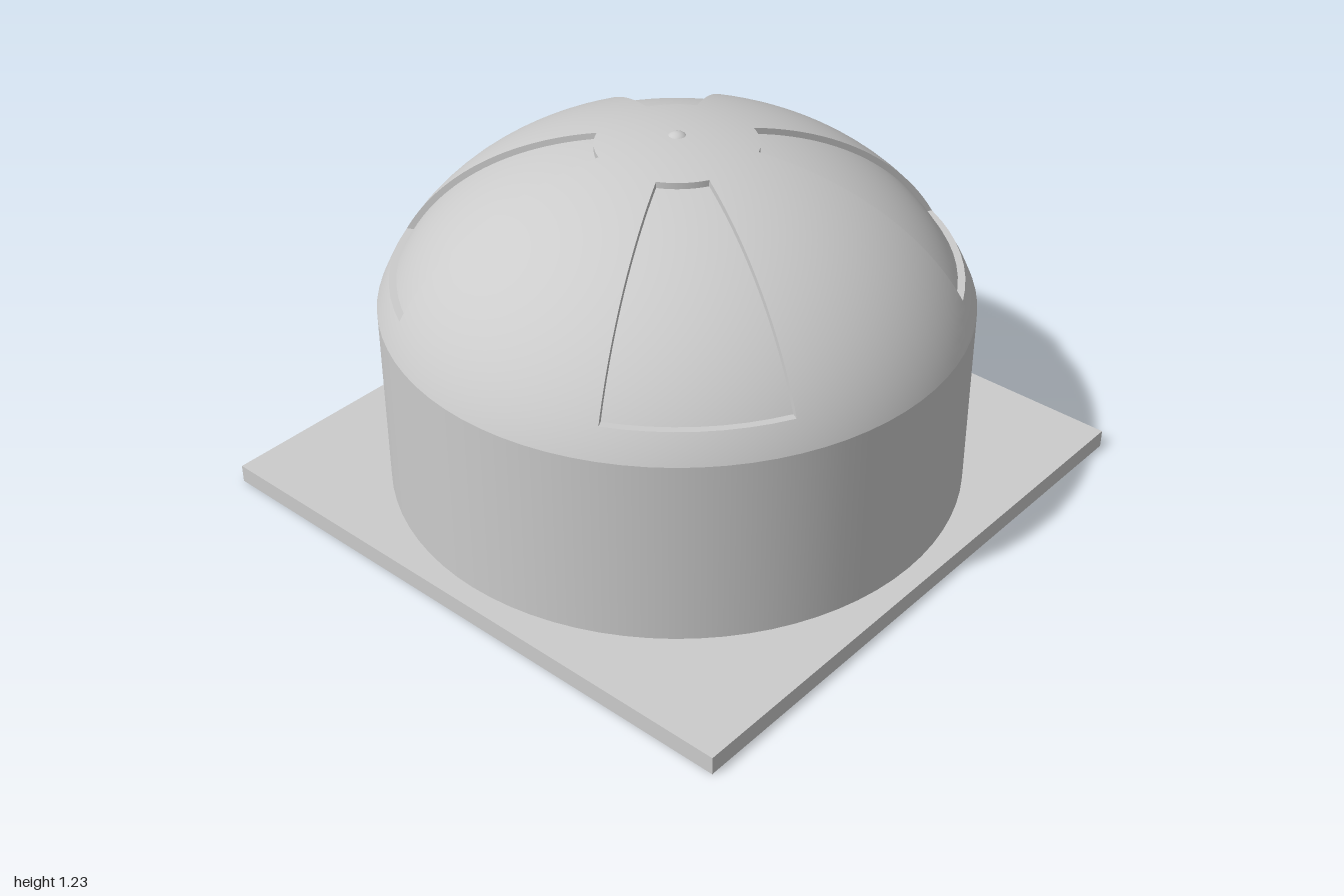
import * as THREE from 'three';

const mat = new THREE.MeshStandardMaterial({ color: 0xcccccc, side: THREE.DoubleSide });
const R = 0.93, BASE = 0.06, EAVE = 0.68;       // drum
const CY = 0.46, DEPTH = 0.02;                  // dome centre height, recess depth
const OUTER = { a: 0.972, b: 0.76 };
const INNER = { a: OUTER.a - DEPTH, b: OUTER.b - DEPTH };
const SILL = 0.77, TOP_R = 0.25;                // recess limits
const HALF = THREE.MathUtils.degToRad(18);      // half the recess width

const atHeight = (e, y) => Math.asin((y - CY) / e.b);
const atRadius = (e, r) => Math.acos(r / e.a);

// Points of an elliptical dome profile between two angles
function arc(e, t0, t1, n) {
  return Array.from({ length: n + 1 }, (_, i) => {
    const t = t0 + (t1 - t0) * i / n;
    return new THREE.Vector2(Math.max(0, e.a * Math.cos(t)), CY + e.b * Math.sin(t));
  });
}

// Lathe patch carrying the true ellipsoid normals, so that patches join smoothly
function domePatch(e, t0, t1, n, phi, len, seg) {
  const g = new THREE.LatheGeometry(arc(e, t0, t1, n), seg, phi, len);
  const p = g.attributes.position, v = new THREE.Vector3();
  for (let i = 0; i < p.count; i++) {
    v.set(p.getX(i) / e.a ** 2, (p.getY(i) - CY) / e.b ** 2, p.getZ(i) / e.a ** 2).normalize();
    g.attributes.normal.setXYZ(i, v.x, v.y, v.z);
  }
  return g;
}

export function createModel() {
  const model = new THREE.Group();
  const add = (name, geometry, parent = model) => {
    const m = new THREE.Mesh(geometry, mat);
    m.name = name;
    parent.add(m);
    return m;
  };

  // Square base and round drum
  add('basePlate', new THREE.BoxGeometry(2, BASE, 2)).position.y = BASE / 2;
  add('drum', new THREE.CylinderGeometry(R, R, EAVE - BASE, 80, 1, true)).position.y = (EAVE + BASE) / 2;

  // Dome: full lower ring and crown, ribs between the recesses
  const dome = new THREE.Group();
  dome.name = 'dome';
  model.add(dome);
  const oSill = atHeight(OUTER, SILL), oTop = atRadius(OUTER, TOP_R);
  const iSill = atHeight(INNER, SILL), iTop = atRadius(INNER, TOP_R);
  const full = Math.PI * 2, ribWidth = Math.PI / 2 - 2 * HALF;
  add('lowerRing', domePatch(OUTER, atHeight(OUTER, EAVE), oSill, 4, 0, full, 80), dome);
  add('crown', domePatch(OUTER, oTop, Math.PI / 2, 6, 0, full, 80), dome);

  // Recess side wall, drawn in the radius-height plane
  const wall = new THREE.ShapeGeometry(new THREE.Shape([
    ...arc(OUTER, oSill, oTop, 24), ...arc(INNER, iTop, iSill, 24),
  ]));
  const yTop = (e, t) => CY + e.b * Math.sin(t);

  for (let i = 0; i < 4; i++) {
    const mid = Math.PI / 4 + i * Math.PI / 2, start = mid - HALF;
    add('rib', domePatch(OUTER, oSill, oTop, 24, mid + HALF, ribWidth, 12), dome);

    const recess = new THREE.Group();
    recess.name = 'recessedPanel';
    dome.add(recess);
    add('panelFloor', domePatch(INNER, iSill, iTop, 24, start, 2 * HALF, 8), recess);
    add('panelSill', new THREE.LatheGeometry([
      new THREE.Vector2(OUTER.a * Math.cos(oSill), SILL),
      new THREE.Vector2(INNER.a * Math.cos(iSill), SILL),
    ], 8, start, 2 * HALF), recess);
    add('panelHead', new THREE.LatheGeometry([
      new THREE.Vector2(TOP_R, yTop(INNER, iTop)),
      new THREE.Vector2(TOP_R, yTop(OUTER, oTop)),
    ], 8, start, 2 * HALF), recess);
    for (const s of [-1, 1]) {
      add('panelSide', wall, recess).rotation.y = mid + s * HALF - Math.PI / 2;
    }
  }

  // Small knob at the apex
  add('apexKnob', new THREE.SphereGeometry(0.04, 20, 12)).position.y = 1.19;
  return model;
}
